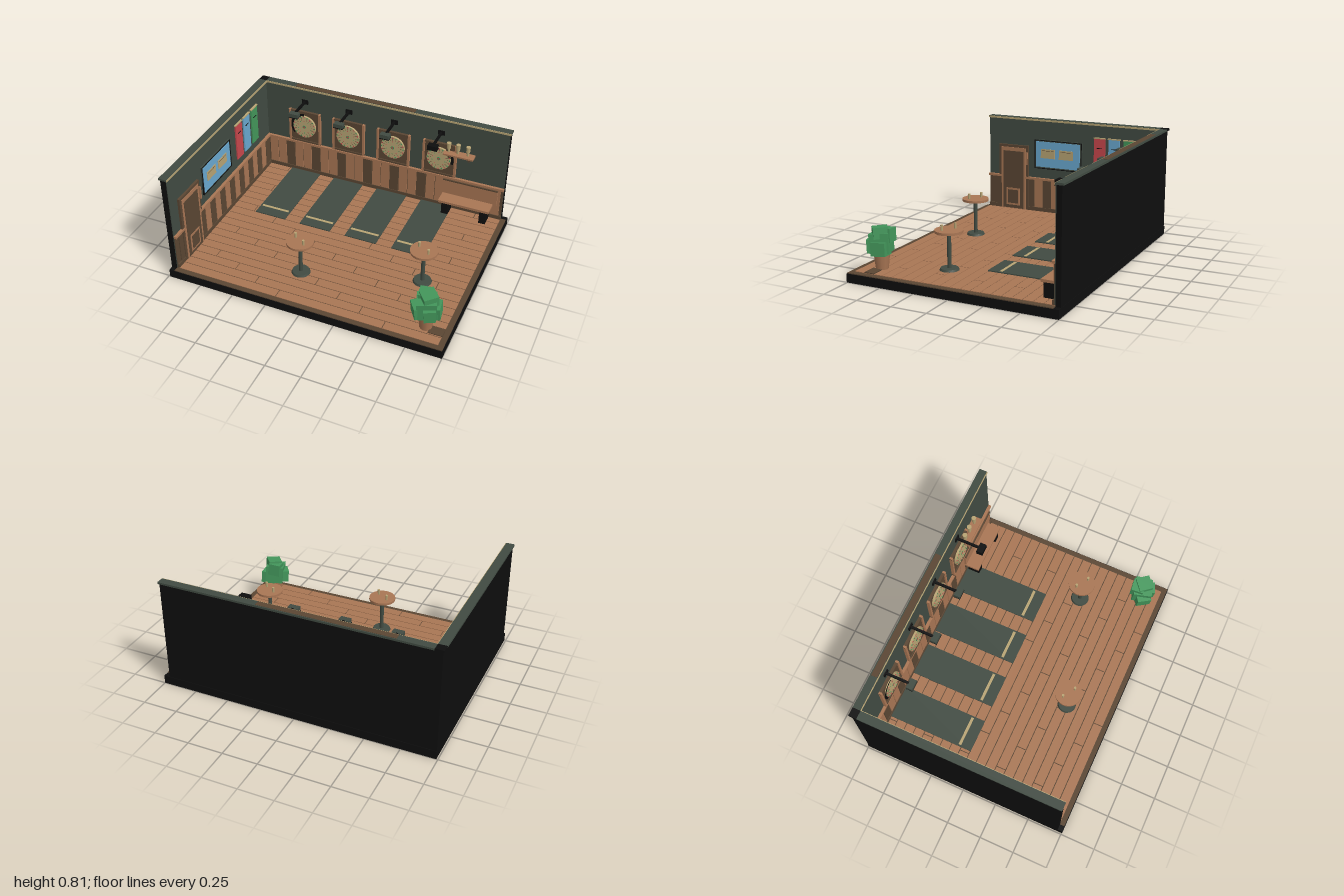
import * as THREE from 'three';

const mat = (name, color) => {
  const m = new THREE.MeshStandardMaterial({ color });
  m.name = name;
  return m;
};
const wood = mat('light wood', 0xa97654);
const dark = mat('dark wood', 0x5a4633);
const green = mat('wall green', 0x414b42);
const black = mat('black', 0x0e0e0e);
const tan = mat('tan', 0xb8a474);
const red = mat('red', 0xc8474c);
const blue = mat('blue', 0x6aa9d0);
const leaf = mat('leaf green', 0x43965b);

export function createModel() {
  const model = new THREE.Group();
  model.name = 'dartRoom';

  const add = (name, geo, material, parent = model) => {
    const m = new THREE.Mesh(geo, material);
    m.name = name;
    parent.add(m);
    return m;
  };
  // Box given by its extents along each axis
  const box = (name, material, x0, x1, y0, y1, z0, z1, parent) => {
    const m = add(name, new THREE.BoxGeometry(x1 - x0, y1 - y0, z1 - z0), material, parent);
    m.position.set((x0 + x1) / 2, (y0 + y1) / 2, (z0 + z1) / 2);
    return m;
  };
  // Upright cylinder standing on y0
  const post = (name, material, x, z, y0, y1, r0, r1 = r0, parent = model, sides = 16) => {
    const m = add(name, new THREE.CylinderGeometry(r1, r0, y1 - y0, sides), material, parent);
    m.position.set(x, (y0 + y1) / 2, z);
    return m;
  };
  const group = (name, x = 0, y = 0, z = 0) => {
    const g = new THREE.Group();
    g.name = name;
    g.position.set(x, y, z);
    model.add(g);
    return g;
  };

  // Base and edge strips
  box('base', black, -0.99, 1, 0, 0.06, -0.75, 0.755);
  box('floorBacking', dark, -0.95, 0.996, 0.06, 0.066, -0.71, 0.752);

  // Staggered floor planks
  const floor = group('floor');
  const rows = 20, pitch = 1.425 / rows, length = 0.765;
  for (let r = 0; r < rows; r++) {
    const z = -0.705 + r * pitch;
    for (let x = -1.525 + (r % 4) * 0.19; x < 0.96; x += length) {
      const a = Math.max(x, -0.945), b = Math.min(x + length, 0.96);
      if (b - a > 0.02) box('plank', wood, a + 0.003, b - 0.003, 0.064, 0.07, z + 0.003, z + pitch - 0.003, floor);
    }
  }

  // Walls with painted inner faces and caps
  box('backWall', black, -0.99, 0.96, 0.06, 0.8, -0.745, -0.709);
  box('backWallPaint', green, -0.945, 0.958, 0.07, 0.8, -0.709, -0.703);
  box('leftWall', black, -0.99, -0.949, 0.06, 0.8, -0.745, 0.72);
  box('leftWallPaint', green, -0.949, -0.943, 0.07, 0.8, -0.709, 0.718);
  box('backCap', green, -0.94, 0.965, 0.798, 0.812, -0.758, -0.702);
  box('backCapTop', dark, -0.7, 0.25, 0.812, 0.814, -0.75, -0.705);
  box('leftCap', green, -1, -0.94, 0.798, 0.812, -0.7, 0.725);
  box('cornerCap', black, -1, -0.94, 0.798, 0.812, -0.758, -0.7);
  box('backCapTrim', tan, -0.94, 0.965, 0.797, 0.811, -0.702, -0.698);
  box('leftCapTrim', tan, -0.94, -0.936, 0.797, 0.811, -0.702, 0.725);

  // Wainscot boards, rails and skirting
  const wainscot = group('wainscot');
  box('backBacking', dark, -0.943, 0.958, 0.07, 0.33, -0.703, -0.698, wainscot);
  box('leftBacking', dark, -0.943, -0.938, 0.07, 0.33, -0.703, 0.718, wainscot);
  const step = 0.072;
  for (let k = 0; k < 26; k++) {
    const x = -0.93 + k * step;
    box('backBoard', k % 3 === 2 ? dark : wood, x + 0.003, x + step - 0.003, 0.1, 0.325, -0.698, -0.692, wainscot);
  }
  for (let k = 0; k < 19; k++) {
    const z = -0.69 + k * step;
    box('leftBoard', k % 2 ? wood : dark, -0.938, -0.932, 0.1, 0.325, z + 0.003, z + step - 0.003, wainscot);
  }
  box('backRail', wood, -0.94, 0.96, 0.325, 0.342, -0.703, -0.682, wainscot);
  box('leftRail', wood, -0.943, -0.922, 0.325, 0.342, -0.703, 0.72, wainscot);
  box('backSkirting', dark, -0.94, 0.958, 0.07, 0.1, -0.7, -0.687, wainscot);
  box('leftSkirting', dark, -0.943, -0.927, 0.07, 0.1, -0.7, 0.718, wainscot);

  // Dart lanes: mat, throw line, target and lamp
  [-0.62, -0.26, 0.1, 0.46].forEach((x, lane) => {
    const g = group('dartLane', x);
    box('mat', green, -0.12, 0.12, 0.069, 0.077, -0.69, -0.06, g);
    box('throwLine', tan, -0.108, 0.108, 0.077, 0.079, -0.16, -0.14, g);

    box('targetPanel', dark, -0.125, 0.125, 0.355, 0.61, -0.703, -0.69, g);
    for (const s of [-1, 1]) {
      box('sideFrame', wood, s * 0.122 - 0.008, s * 0.122 + 0.008, 0.35, 0.618, -0.703, -0.68, g);
      box('crossFrame', dark, -0.13, 0.13, 0.483 + s * 0.128 - 0.007, 0.483 + s * 0.128 + 0.007, -0.703, -0.682, g);
    }
    const target = new THREE.Group();
    target.name = 'target';
    target.position.set(0, 0.49, -0.69);
    g.add(target);
    const disc = (name, m, r, z) => {
      const d = add(name, new THREE.CylinderGeometry(r, r, z, 40), m, target);
      d.rotation.x = Math.PI / 2;
      d.position.z = z / 2;
    };
    disc('targetBody', tan, 0.092, 0.016);
    // Number ring, only partly visible on the outer lanes
    if (lane === 0 || lane === 3) {
      const arc = add('targetRing', new THREE.RingGeometry(0.09, 0.112, 24, 1, lane ? -0.3 : 1.6, lane ? 1.3 : 2.2), black, target);
      arc.position.z = 0.012;
    }
    for (let i = 0; i < 20; i++) {
      const a = (i / 20) * Math.PI * 2;
      const spoke = new THREE.Group();
      spoke.name = 'sector';
      spoke.rotation.z = a;
      target.add(spoke);
      box('wire', dark, 0.06, 0.09, -0.0008, 0.0008, 0.016, 0.017, spoke);
      box('outerMark', i % 2 ? red : leaf, 0.081, 0.088, -0.005, 0.005, 0.016, 0.018, spoke);
      if (i % 2) box('innerMark', i % 4 === 1 ? red : leaf, 0.05, 0.055, -0.003, 0.003, 0.016, 0.018, spoke);
    }
    disc('bullRing', leaf, 0.013, 0.018);
    disc('bull', red, 0.007, 0.02);

    box('lampPlate', black, -0.025, 0.025, 0.68, 0.715, -0.703, -0.695, g);
    box('lampArm', black, -0.008, 0.008, 0.69, 0.706, -0.7, -0.53, g);
    box('lampHead', lane === 3 ? black : green, -0.036, 0.036, 0.676, 0.706, -0.535, -0.49, g);
    box('lampShadeUnder', black, -0.037, 0.037, 0.671, 0.677, -0.536, -0.489, g);
  });

  // Cup shelf
  const cup = (x, z, y, h, r, parent) => post('cup', tan, x, z, y, y + h, r * 0.85, r, parent, 12);
  const shelf = group('shelf');
  box('shelfBoard', wood, 0.5, 0.725, 0.558, 0.57, -0.703, -0.635, shelf);
  for (const x of [0.54, 0.69]) box('shelfBracket', dark, x - 0.008, x + 0.008, 0.53, 0.558, -0.703, -0.655, shelf);
  for (const x of [0.53, 0.6, 0.675]) {
    cup(x, -0.675, 0.57, 0.03, 0.01, shelf);
    cup(x, -0.675, 0.6, 0.045, 0.017, shelf);
  }

  // Bench
  const bench = group('bench');
  box('benchSeat', wood, 0.505, 0.89, 0.175, 0.193, -0.69, -0.58, bench);
  box('benchBack', wood, 0.505, 0.92, 0.2, 0.315, -0.692, -0.678, bench);
  box('benchBackTop', dark, 0.505, 0.92, 0.315, 0.325, -0.692, -0.672, bench);
  for (const x of [0.53, 0.82]) box('benchLeg', black, x, x + 0.05, 0.07, 0.175, -0.68, -0.59, bench);

  // Standing tables with two cups each
  for (const [x, z] of [[-0.14, 0.42], [0.66, 0.18]]) {
    const g = group('table', x, 0, z);
    post('tableBase', green, 0, 0, 0.07, 0.084, 0.066, 0.06, g, 24);
    post('tablePole', green, 0, 0, 0.084, 0.325, 0.014, 0.014, g);
    post('tableTop', wood, 0, 0, 0.325, 0.342, 0.095, 0.095, g, 32);
    cup(-0.043, -0.024, 0.342, 0.038, 0.009, g);
    cup(0.04, 0.03, 0.342, 0.038, 0.009, g);
  }

  // Potted plant made of turned leaf blocks
  const plant = group('plant', 0.83, 0, 0.59);
  box('pedestal', dark, 0.03, 0.13, 0.07, 0.076, -0.02, 0.05, plant);
  post('pot', wood, 0, 0, 0.07, 0.185, 0.042, 0.055, plant, 12);
  for (const [x, y, z, w, h, turn] of [
    [0, 0.25, 0, 0.13, 0.13, 0.3], [-0.04, 0.23, 0.02, 0.1, 0.09, 0.6],
    [0.04, 0.22, -0.02, 0.1, 0.09, 0.15], [0.01, 0.32, 0, 0.1, 0.075, 0.7],
    [-0.02, 0.3, -0.03, 0.09, 0.09, 0.1], [0.03, 0.23, 0.04, 0.08, 0.09, 0.4],
  ]) {
    const m = add('leafBlock', new THREE.BoxGeometry(w, h, w), leaf, plant);
    m.position.set(x, y, z);
    m.rotation.set(0.06, turn, 0.06);
  }

  // Door on the left wall
  const door = group('door');
  box('doorSurround', dark, -0.943, -0.926, 0.07, 0.592, 0.37, 0.628, door);
  box('doorFrame', wood, -0.926, -0.922, 0.07, 0.572, 0.39, 0.605, door);
  box('doorLeaf', dark, -0.922, -0.919, 0.075, 0.542, 0.41, 0.587, door);
  box('doorLowerPanel', wood, -0.919, -0.916, 0.1, 0.24, 0.44, 0.56, door);
  box('doorLowerInset', dark, -0.916, -0.914, 0.115, 0.225, 0.455, 0.545, door);
  box('doorHandle', wood, -0.93, -0.912, 0.44, 0.54, 0.374, 0.384, door);

  // Framed notice board
  const board = group('noticeBoard');
  box('boardFrame', green, -0.943, -0.932, 0.42, 0.652, -0.085, 0.315, board);
  for (const y of [0.42, 0.644]) box('boardEdge', black, -0.943, -0.929, y, y + 0.006, -0.085, 0.315, board);
  for (const z of [-0.085, 0.309]) box('boardEdge', black, -0.943, -0.929, 0.42, 0.65, z, z + 0.006, board);
  box('boardFace', blue, -0.932, -0.928, 0.435, 0.638, -0.07, 0.303, board);
  for (const z of [-0.015, 0.14]) {
    box('note', tan, -0.928, -0.925, 0.507, 0.58, z, z + 0.12, board);
    box('noteLine', dark, -0.925, -0.924, 0.565, 0.568, z + 0.01, z + 0.11, board);
  }

  // Hanging banners
  [[-0.23, red], [-0.348, blue], [-0.47, leaf]].forEach(([z, m]) => {
    const g = group('banner', 0, 0, z);
    box('bannerCloth', m, -0.943, -0.932, 0.41, 0.7, -0.045, 0.045, g);
    box('bannerRod', tan, -0.943, -0.928, 0.698, 0.706, -0.05, 0.05, g);
    box('bannerDart', black, -0.932, -0.929, 0.622, 0.627, -0.022, 0.022, g);
  });

  return model;
}
